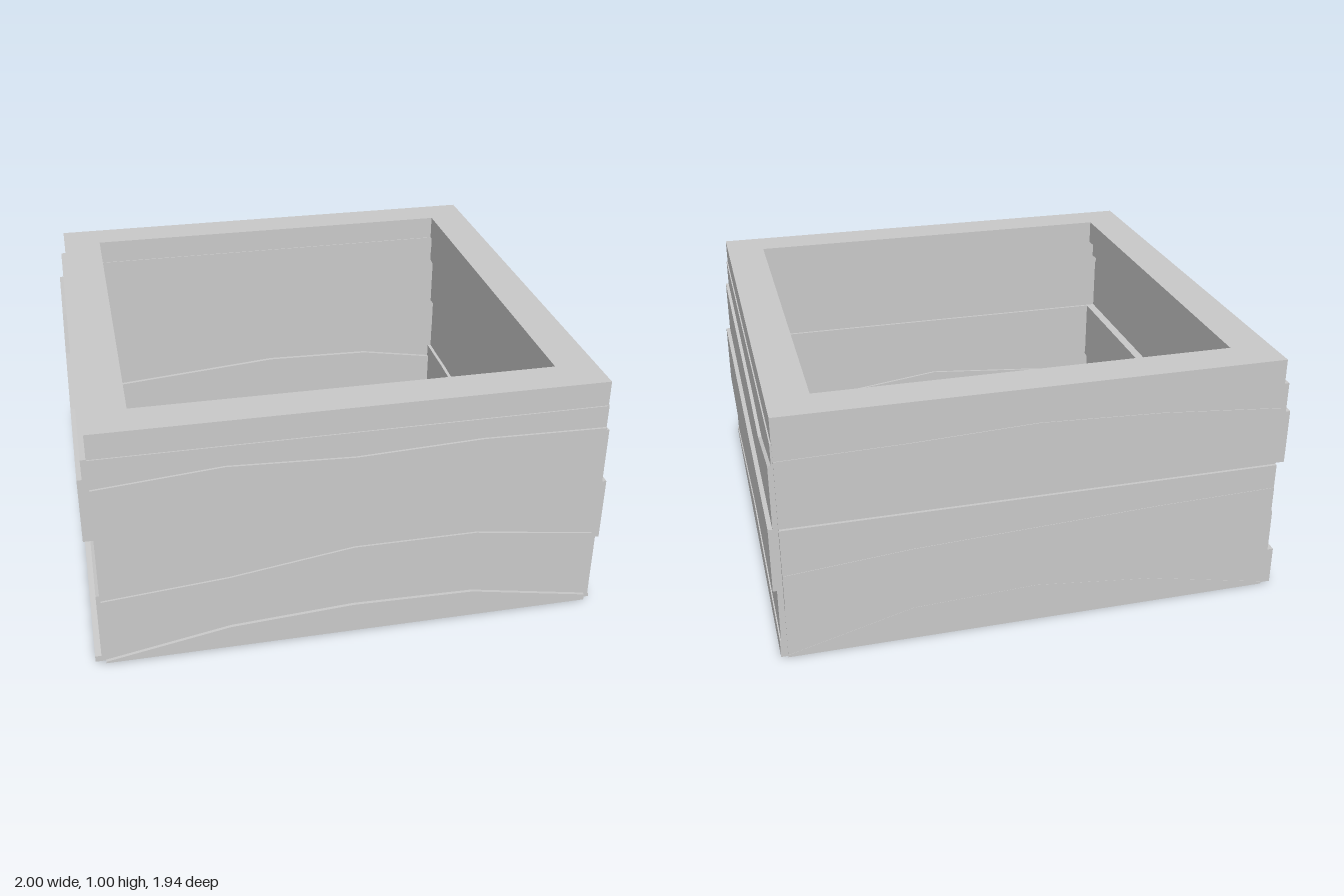
import * as THREE from 'three';

const material = new THREE.MeshStandardMaterial({ color: 0xcccccc, flatShading: true });
const THICK = 0.16; // plank thickness
const BASE = [0.005, 0.005];
const MIDDLE = [0.56, 0.56];
const TOP = [0.9, 0.9];

// Spreads seam heights evenly along a wall
function seamPoints(heights, half) {
  return heights.map((y, i) => new THREE.Vector2(half * ((2 * i) / (heights.length - 1) - 1), y));
}

// One plank: the outline between two seams, extruded through the wall
function plank(lower, upper, half, face) {
  const outline = [...seamPoints(lower, half), ...seamPoints(upper, half).reverse()];
  const geometry = new THREE.ExtrudeGeometry(new THREE.Shape(outline), { depth: THICK, bevelEnabled: false });
  geometry.translate(0, 0, face - THICK);
  return new THREE.Mesh(geometry, material);
}

// A wall of planks; each is pushed outward by its own amount.
// Seam heights run left to right as seen from outside.
function buildWall(name, turn, half, face, seams, push) {
  const group = new THREE.Group();
  group.name = name;
  push.forEach((out, i) => {
    const mesh = plank(seams[i], seams[i + 1], half, face + out);
    mesh.name = `plank${i + 1}`;
    group.add(mesh);
  });
  group.rotation.y = turn;
  return group;
}

function rectangle(Type, w, d) {
  return new Type().moveTo(-w, -d).lineTo(w, -d).lineTo(w, d).lineTo(-w, d).closePath();
}

export function createModel() {
  const model = new THREE.Group();
  model.name = 'plankBox';

  model.add(buildWall('frontWall', 0, 0.96, 0.955, [
    BASE,
    [0.012, 0.1, 0.13, 0.12, 0.03],
    [0.19, 0.24, 0.28, 0.22, 0.13],
    [0.29, 0.33, 0.4, 0.4, 0.33],
    MIDDLE,
    [0.78, 0.82, 0.8, 0.82, 0.81],
    TOP,
  ], [0.015, 0.002, 0.012, 0.004, 0.015, 0.006]));

  model.add(buildWall('leftWall', Math.PI / 2, 0.953, 0.962, [
    BASE,
    [0.02, 0.12, 0.08],
    [0.3, 0.26, 0.29, 0.285, 0.3, 0.3],
    MIDDLE,
    [0.79, 0.78, 0.77, 0.76, 0.735, 0.815],
    TOP,
  ], [0.025, 0.02, 0.035, 0.018, 0.005]));

  model.add(buildWall('backWall', Math.PI, 0.96, 0.955, [
    BASE,
    [0.012, 0.14, 0.16, 0.11, 0.012],
    [0.22, 0.3, 0.31, 0.27, 0.23],
    [0.37, 0.41, 0.43, 0.45, 0.46],
    MIDDLE,
    [0.83, 0.84, 0.86, 0.84, 0.8],
    TOP,
  ], [0.003, 0.002, 0.018, 0.016, 0.004, 0.001]));

  model.add(buildWall('rightWall', -Math.PI / 2, 0.953, 0.962, [
    BASE,
    [0.16, 0.15, 0.09, 0.03],
    [0.34, 0.35, 0.35, 0.26, 0.31],
    MIDDLE,
    [0.78, 0.8, 0.84, 0.84, 0.82],
    TOP,
  ], [0.038, 0.014, 0.001, 0.038, 0.02]));

  // Flat frame along the top
  const frame = rectangle(THREE.Shape, 0.962, 0.956);
  frame.holes.push(rectangle(THREE.Path, 0.802, 0.8));
  const rimGeometry = new THREE.ExtrudeGeometry(frame, { depth: 0.1, bevelEnabled: false });
  rimGeometry.rotateX(-Math.PI / 2).translate(0, 0.9, 0);
  const rim = new THREE.Mesh(rimGeometry, material);
  rim.name = 'topRim';
  model.add(rim);

  // Bottom board
  const floor = new THREE.Mesh(new THREE.BoxGeometry(1.92, 0.02, 1.91), material);
  floor.name = 'floor';
  floor.position.y = 0.01;
  model.add(floor);

  return model;
}
